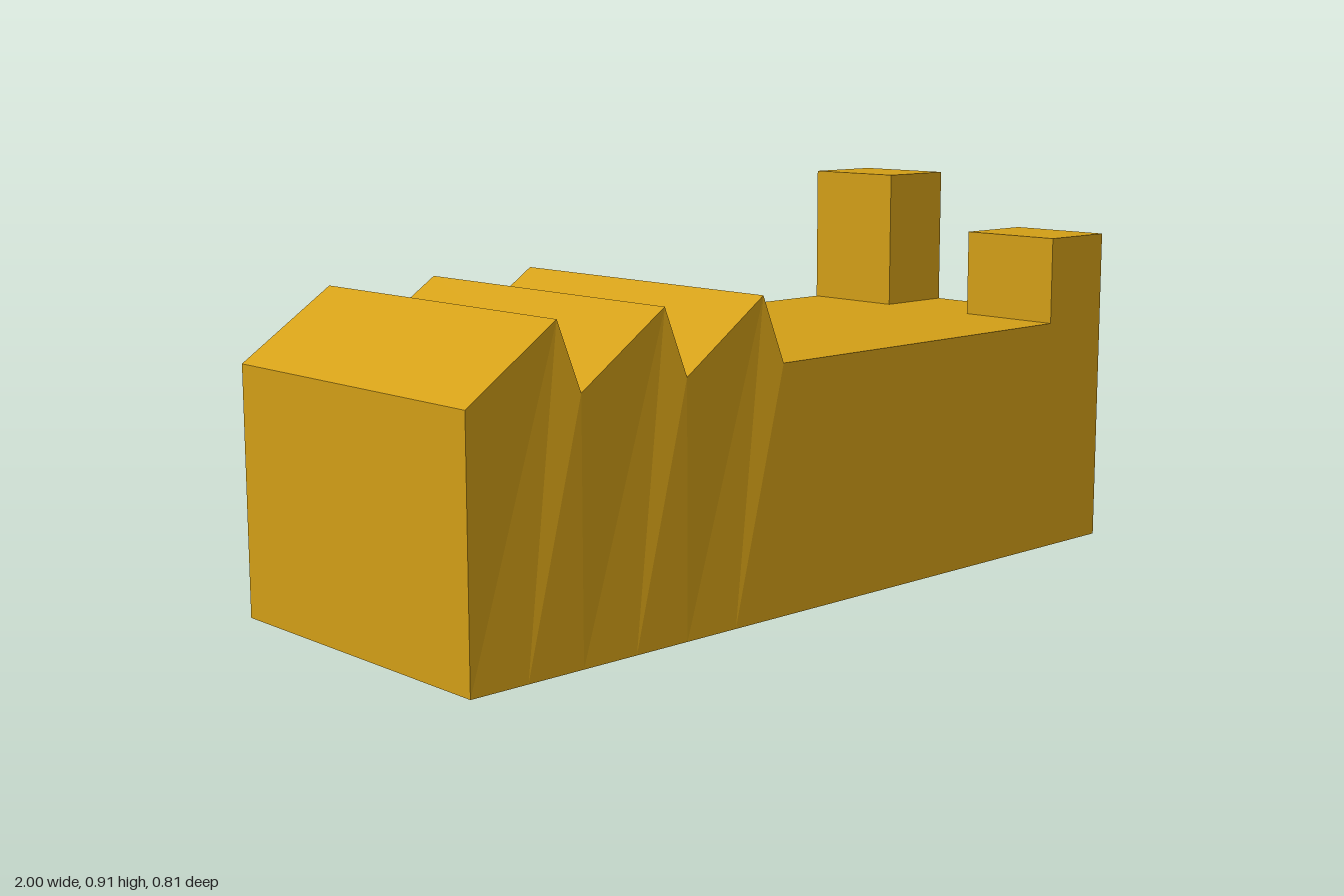
import * as THREE from 'three';

const FRONT = 0.405, BACK = -0.39, DECK = 0.565, RIDGE = 0.715, LEAN = -0.013;

// Loft of four-cornered sections along x; each tooth ridge leans slightly to the back.
function bodyGeometry() {
  const section = (bottomX, topX, topY, lean) => [
    [bottomX, 0, FRONT], [topX, topY, FRONT + lean],
    [topX, topY, BACK + lean], [bottomX, 0, BACK],
  ];
  const sections = [section(-1, -1, DECK, 0)];
  const pitch = 0.285;
  for (let i = 0; i < 3; i++) {
    const start = -1 + i * pitch, end = start + pitch;
    sections.push(section(start + pitch / 2, end - 0.05, RIDGE, LEAN));
    sections.push(section(end, end, DECK, 0));
  }
  sections.push(section(1, 1, DECK, 0));

  const points = [];
  const quad = (a, b, c, d) => [a, b, c, a, c, d].forEach((p) => points.push(...p));
  for (let i = 0; i < sections.length - 1; i++) {
    const a = sections[i], b = sections[i + 1];
    for (let k = 0; k < 4; k++) {
      const n = (k + 1) % 4;
      quad(a[k], b[k], b[n], a[n]);
    }
  }
  // End walls
  quad(...sections[0]);
  quad(...[...sections[sections.length - 1]].reverse());

  const geometry = new THREE.BufferGeometry();
  geometry.setAttribute('position', new THREE.Float32BufferAttribute(points, 3));
  geometry.computeVertexNormals();
  return geometry;
}

export function createModel() {
  const group = new THREE.Group();
  group.name = 'factoryBuilding';
  const material = new THREE.MeshStandardMaterial({ color: 0xd4a017, flatShading: true });

  // Long hall with a sawtooth roof at one end
  const hall = new THREE.Mesh(bodyGeometry(), material);
  hall.name = 'sawtoothHall';
  group.add(hall);

  // Square towers standing on the deck at the other end
  const addTower = (name, zMin, zMax, top) => {
    const tower = new THREE.Mesh(new THREE.BoxGeometry(0.203, top - DECK, zMax - zMin), material);
    tower.position.set(1 - 0.203 / 2, (top + DECK) / 2, (zMin + zMax) / 2);
    tower.name = name;
    group.add(tower);
  };
  addTower('frontTower', 0.14, FRONT, 0.775);
  addTower('backTower', BACK, -0.125, 0.907);

  return group;
}
